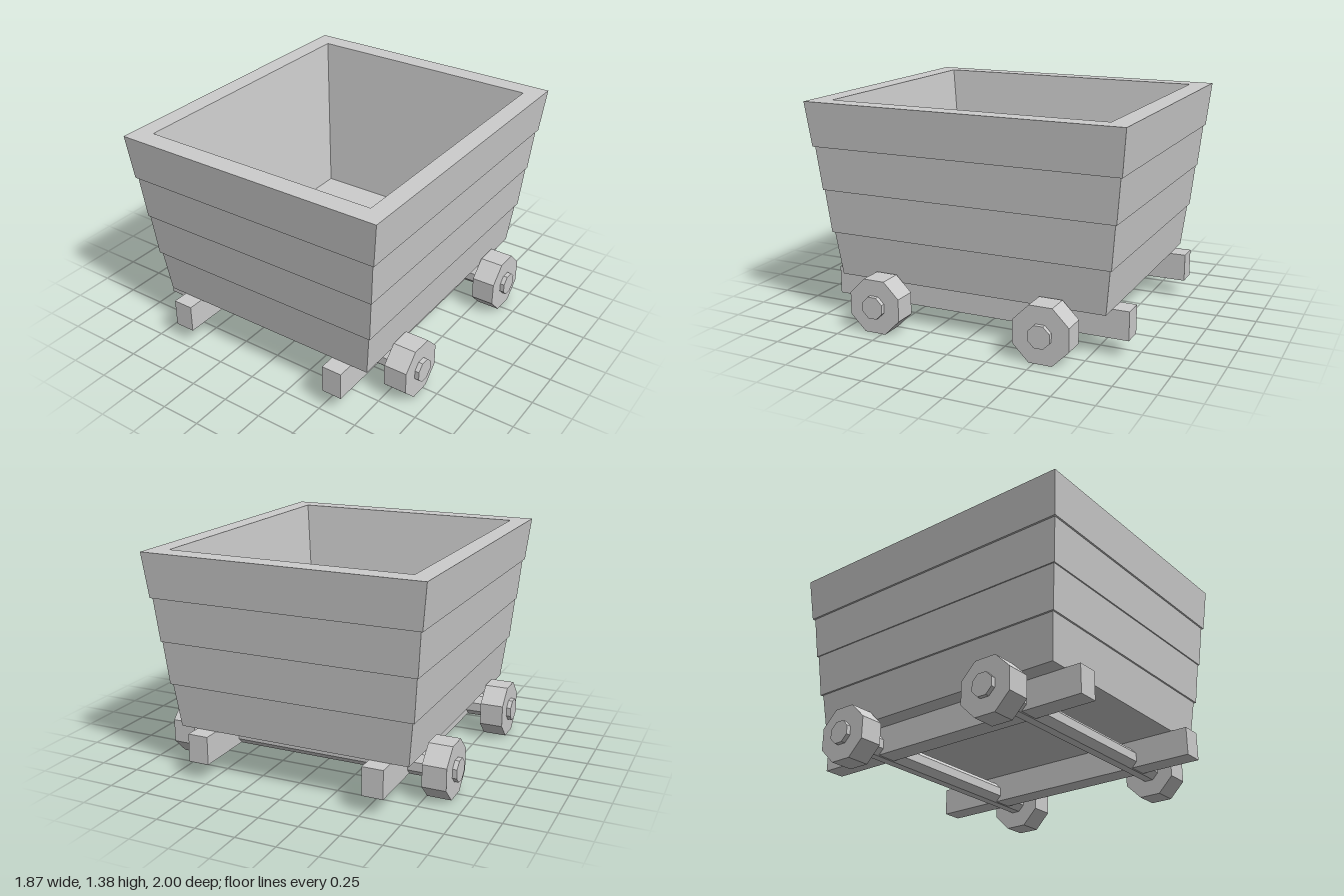
import * as THREE from 'three';

const material = new THREE.MeshStandardMaterial({ color: 0xcccccc, flatShading: true });

function add(parent, name, geometry, x = 0, y = 0, z = 0) {
  const mesh = new THREE.Mesh(geometry, material);
  mesh.name = name;
  mesh.position.set(x, y, z);
  parent.add(mesh);
  return mesh;
}

// Rectangular loft through rings of [half width, half depth, height]
function rectLoft(rings) {
  const corners = [[1, 1], [1, -1], [-1, -1], [-1, 1]];
  const point = ([hx, hz, y], i) => [corners[i % 4][0] * hx, y, corners[i % 4][1] * hz];
  const positions = [];
  for (let r = 0; r < rings.length - 1; r++) {
    const lower = rings[r], upper = rings[r + 1];
    for (let i = 0; i < 4; i++) {
      const a = point(lower, i), b = point(lower, i + 1);
      const c = point(upper, i + 1), d = point(upper, i);
      if (lower[0] > 0) positions.push(...a, ...b, ...c);
      if (upper[0] > 0) positions.push(...a, ...c, ...d);
    }
  }
  const geometry = new THREE.BufferGeometry();
  geometry.setAttribute('position', new THREE.Float32BufferAttribute(positions, 3));
  geometry.computeVertexNormals();
  return geometry;
}

// Eight-sided bar along x, flats facing up and down
function octagonBar(apothem, length) {
  const geometry = new THREE.CylinderGeometry(1, 1, length, 8);
  const radius = apothem / Math.cos(Math.PI / 8);
  return geometry.scale(radius, 1, radius).rotateZ(Math.PI / 2).rotateX(Math.PI / 8);
}

export function createModel() {
  const cart = new THREE.Group();
  cart.name = 'mineCart';

  // Hollow tub: four overlapping plank tiers, rim, sloped inside and floor
  add(cart, 'tub', rectLoft([
    [0, 0, 0.285],
    [0.74, 0.864, 0.285], [0.77, 0.894, 0.56],
    [0.782, 0.905, 0.56], [0.804, 0.93, 0.83],
    [0.811, 0.938, 0.83], [0.833, 0.963, 1.1],
    [0.845, 0.974, 1.1], [0.874, 1, 1.375],
    [0.758, 0.876, 1.375], [0.65, 0.75, 0.38],
    [0, 0, 0.38],
  ]));

  // Two long chassis beams
  for (const side of [1, -1]) {
    add(cart, side > 0 ? 'leftBeam' : 'rightBeam',
      new THREE.BoxGeometry(0.13, 0.176, 1.93), side * 0.565, 0.198, 0);
  }

  // Axles with a wheel near each end
  for (const end of [1, -1]) {
    const axle = new THREE.Group();
    axle.name = end > 0 ? 'frontAxleSet' : 'rearAxleSet';
    axle.position.set(0, 0.172, end * 0.54);
    cart.add(axle);
    add(axle, 'axle', octagonBar(0.067, 1.865));
    for (const side of [1, -1]) {
      const apothem = side > 0 && end < 0 ? 0.172 : 0.166;
      add(axle, side > 0 ? 'leftWheel' : 'rightWheel', octagonBar(apothem, 0.148), side * 0.831);
    }
  }
  return cart;
}
